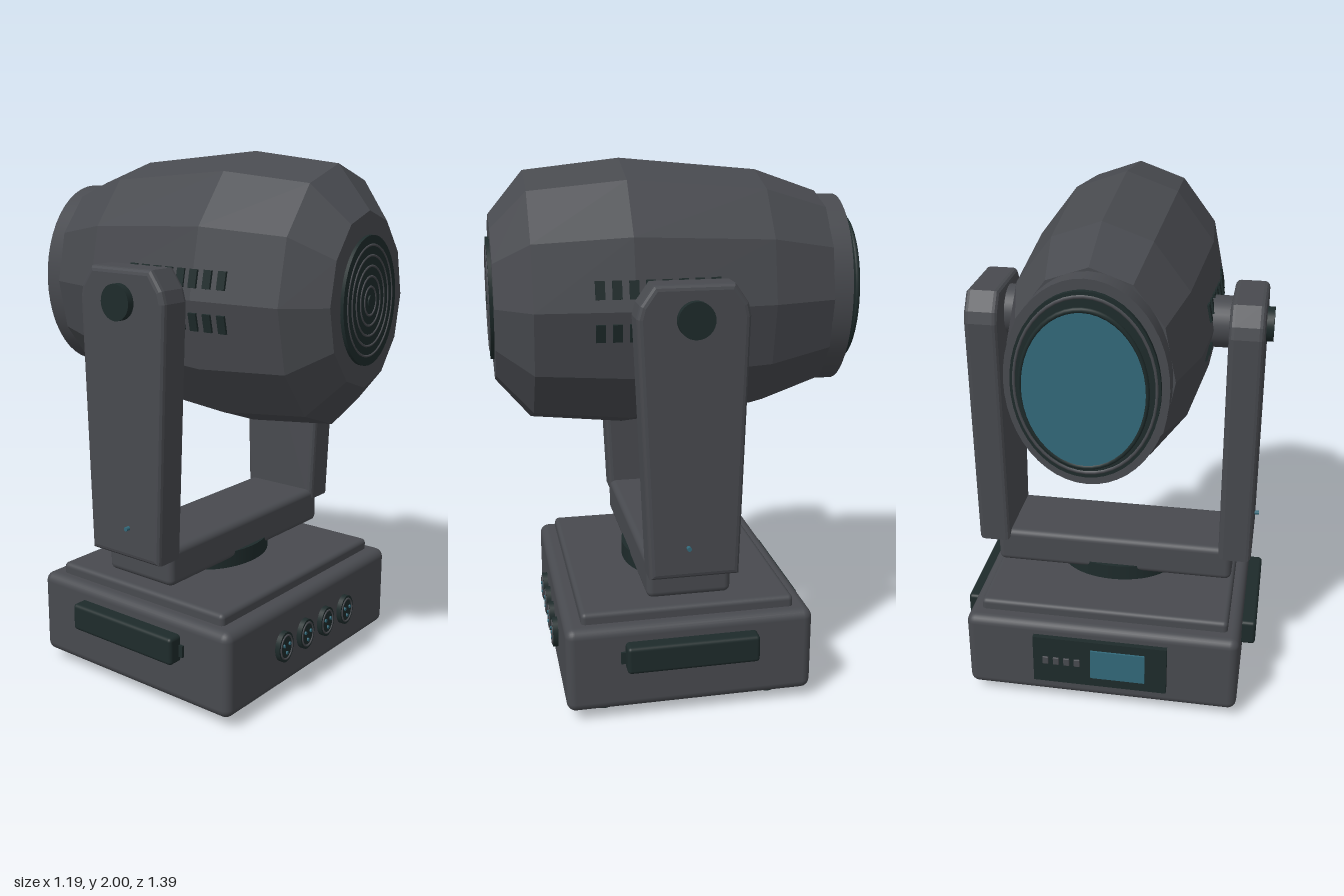
import * as THREE from 'three';
import { RoundedBoxGeometry } from 'three/addons/geometries/RoundedBoxGeometry.js';

const SQUASH = 0.76;          // round parts are narrower in x than in y
const HEAD_Y = 1.495, PIVOT_Z = 0.02;

export function createModel() {
  const root = new THREE.Group();
  root.name = 'movingHeadLight';
  const paint = (name, color) => {
    const m = new THREE.MeshStandardMaterial({ color });
    m.name = name;
    return m;
  };
  const grey = paint('housing grey', 0x484a4f);
  const dark = paint('dark trim', 0x1e2b2b);
  const teal = paint('teal glass', 0x32697a);

  const add = (name, geo, mat, x = 0, y = 0, z = 0, parent = root) => {
    const m = new THREE.Mesh(geo, mat);
    m.name = name;
    m.position.set(x, y, z);
    parent.add(m);
    return m;
  };
  const group = (name, x, y, z) => {
    const g = new THREE.Group();
    g.name = name;
    g.position.set(x, y, z);
    root.add(g);
    return g;
  };
  const rbox = (w, h, d, r) => new RoundedBoxGeometry(w, h, d, 3, r);
  // Oval disc and oval ring facing along z
  const disc = (r, depth, sides = 48) =>
    new THREE.CylinderGeometry(r, r, depth, sides).rotateX(Math.PI / 2).scale(SQUASH, 1, 1);
  const ring = (r, tube, sides = 48) =>
    new THREE.TorusGeometry(r, tube, 8, sides).scale(SQUASH, 1, 1);

  // Base
  add('baseBody', rbox(1.08, 0.33, 0.932, 0.035), grey, 0, 0.205, 0.021);
  add('baseTopPlate', rbox(0.98, 0.08, 0.804, 0.018), grey, 0, 0.372, 0.022);
  for (const x of [-0.41, 0.41]) for (const z of [-0.3, 0.34]) {
    add('foot', new THREE.CylinderGeometry(0.042, 0.042, 0.06, 20).scale(1.1, 1, 0.92), dark, x, 0.03, z);
  }
  for (const s of [-1, 1]) {
    add('sideHandle', rbox(0.08, 0.105, 0.495, 0.014), dark, s * 0.555, 0.26, 0.022);
    add('handleStop', new THREE.BoxGeometry(0.03, 0.045, 0.03), dark, s * 0.535, 0.253, 0.272);
  }

  // Front sockets, each with a rim and three pins
  for (const x of [-0.21, -0.07, 0.07, 0.21]) {
    const socket = group('socket', x, 0.21, 0.487);
    add('socketBody', disc(0.06, 0.04, 28), dark, 0, 0, 0, socket);
    add('socketRim', ring(0.047, 0.004, 28), grey, 0, 0, 0.02, socket);
    for (const [px, py] of [[-0.017, 0.01], [0.017, 0.01], [0, -0.022]]) {
      add('socketPin', disc(0.007, 0.008, 10), teal, px, py, 0.022, socket);
    }
  }

  // Rear control panel
  add('controlPanel', new THREE.BoxGeometry(0.53, 0.21, 0.03), dark, 0, 0.215, -0.45);
  add('displayScreen', new THREE.BoxGeometry(0.215, 0.13, 0.008), teal, -0.073, 0.218, -0.468);
  for (let i = 0; i < 4; i++) {
    add('panelButton', rbox(0.024, 0.034, 0.008, 0.003), grey, 0.215 - i * 0.042, 0.215, -0.467);
  }

  // Turntable and yoke
  add('turntable', new THREE.CylinderGeometry(0.235, 0.235, 0.075, 48).scale(1, 1, 0.74), dark, 0, 0.4375, PIVOT_Z);
  add('yokeCrossbar', rbox(0.96, 0.145, 0.315, 0.025), grey, 0, 0.5175, PIVOT_Z);

  const outline = new THREE.Shape([
    [0.18, 0.55], [0.22, 1.5], [0.208, 1.545], [0.16, 1.613],
    [-0.12, 1.613], [-0.168, 1.545], [-0.178, 1.5], [-0.15, 0.55],
  ].map(([z, y]) => new THREE.Vector2(z, y)));
  const armGeo = new THREE.ExtrudeGeometry(outline, {
    depth: 0.09, bevelEnabled: true, bevelSize: 0.02, bevelThickness: 0.02, bevelOffset: -0.02, bevelSegments: 3,
  }).translate(0, 0, -0.045).rotateY(-Math.PI / 2);
  const axle = (r, len) => new THREE.CylinderGeometry(r, r, len, 32).rotateZ(Math.PI / 2);
  for (const s of [-1, 1]) {
    add('yokeArm', armGeo, grey, s * 0.49, 0, 0);
    add('tiltAxle', axle(0.097, 0.14), grey, s * 0.37, HEAD_Y, PIVOT_Z);
    add('pivotCap', axle(0.065, 0.04), dark, s * 0.562, HEAD_Y, PIVOT_Z);
    add('indicator', axle(0.008, 0.03), teal, s * 0.557, 0.67, 0.04);
  }

  // Twelve-sided faceted head
  const profile = [[0, -0.57], [0.375, -0.57], [0.458, -0.33], [0.505, 0.19], [0.465, 0.545], [0.31, 0.675], [0, 0.675]];
  const shell = new THREE.LatheGeometry(profile.map(([r, z]) => new THREE.Vector2(r, z)), 12)
    .rotateX(Math.PI / 2).scale(SQUASH, 1, 1).toNonIndexed();
  shell.computeVertexNormals();
  const head = group('head', 0, HEAD_Y, 0);
  add('headShell', shell, grey, 0, 0, 0, head);

  // Round fan grille on the front end
  add('fanGrille', disc(0.228, 0.03), dark, 0, 0, 0.673, head);
  for (let i = 0; i < 5; i++) {
    add('grilleRing', ring(0.05 + i * 0.036, 0.0045), grey, 0, 0, 0.687, head);
  }
  add('grilleHub', disc(0.022, 0.006, 24), dark, 0, 0, 0.69, head);

  // Lens end
  add('lensCollar', disc(0.363, 0.085), grey, 0, 0, -0.6025, head);
  add('lensStep', disc(0.328, 0.025), dark, 0, 0, -0.65, head);
  add('lensStepRim', ring(0.31, 0.008), grey, 0, 0, -0.658, head);
  add('lensRing', ring(0.275, 0.0095), dark, 0, 0, -0.686, head);
  add('lens', disc(0.268, 0.01), teal, 0, 0, -0.687, head);

  // Vent slots lying on the side facets
  const radiusAt = (z) => {
    const i = profile.findIndex(([, pz], k) => k > 1 && z <= pz);
    const [r0, z0] = profile[i - 1], [r1, z1] = profile[i];
    return r0 + (r1 - r0) * (z - z0) / (z1 - z0);
  };
  const slotGeo = new THREE.BoxGeometry(0.02, 0.066, 0.034);
  for (const s of [-1, 1]) for (const v of [-1, 1]) for (let i = 0; i < 8; i++) {
    const z = 0.315 - i * 0.0595, r = radiusAt(z), dy = 0.075;
    const x = SQUASH * (r - 0.134 * dy / 0.5);
    add('ventSlot', slotGeo, dark, s * (x - 0.003), v * dy, z, head).rotation.z = s * v * 0.2;
  }
  return root;
}
